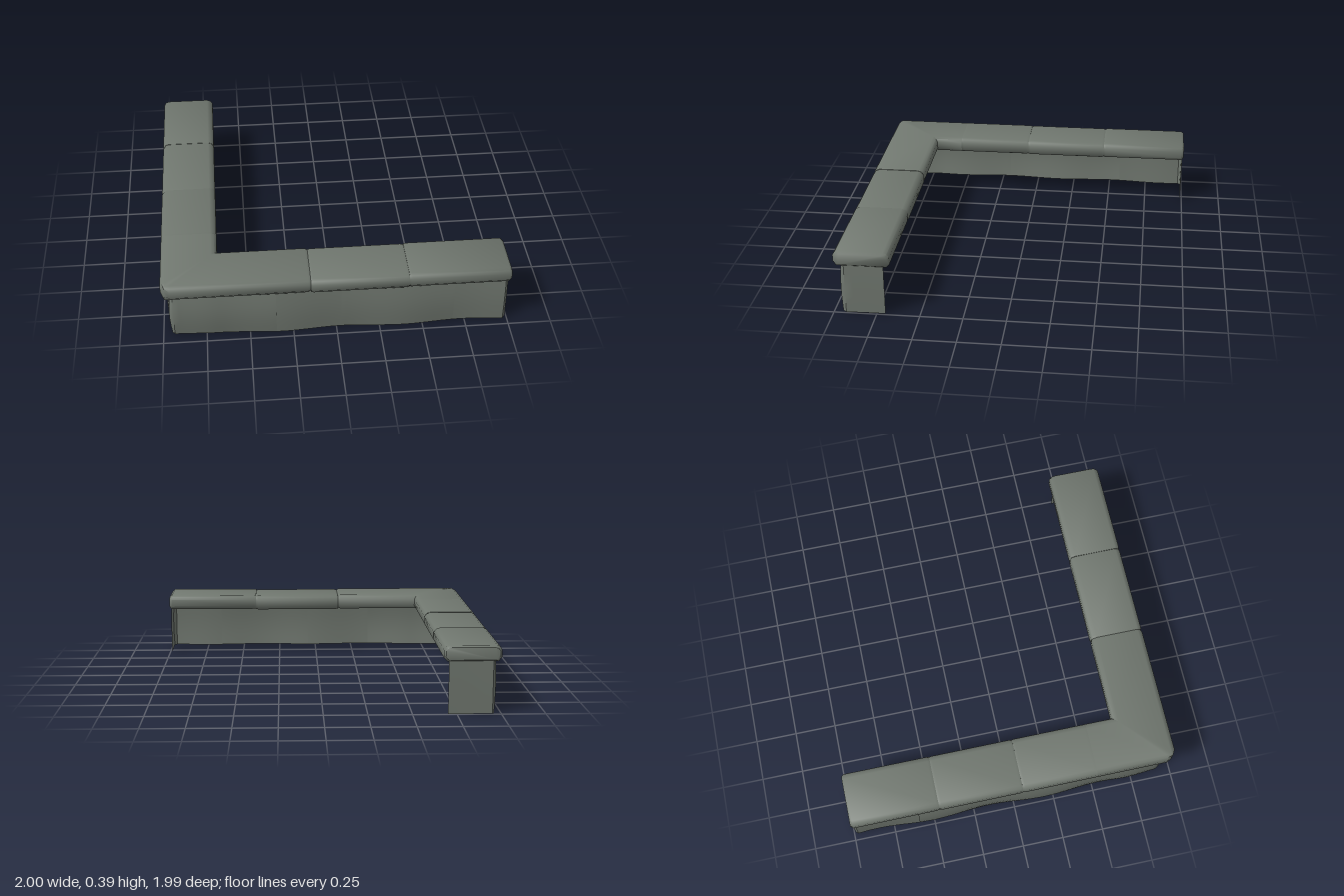
import * as THREE from 'three';
import { toCreasedNormals } from 'three/addons/utils/BufferGeometryUtils.js';

const stone = new THREE.MeshStandardMaterial({ color: 0x70776f });
const wallStone = new THREE.MeshStandardMaterial({ color: 0x70776f, side: THREE.DoubleSide });

// Coping cross-section: distance in from the outer edge, height
const profile = [
  [0.02, 0.3], [0.305, 0.3], [0.325, 0.32], [0.325, 0.365], [0.312, 0.384],
  [0.29, 0.392], [0.03, 0.392], [0.012, 0.384], [0, 0.365], [0, 0.325],
];
const OUT_X = -0.997, OUT_Z = 0.99;

// Stations along the L: side arm, mitred corner, front arm
const side = z => d => [OUT_X + d, Math.min(z, OUT_Z - d)];
const front = x => d => [Math.max(x, OUT_X + d), OUT_Z - d];
const mitre = d => {
  const e = Math.max(d, 0.022);
  return [OUT_X + e, OUT_Z - e];
};

function build(positions, index, crease) {
  const geo = new THREE.BufferGeometry();
  geo.setAttribute('position', new THREE.Float32BufferAttribute(positions, 3));
  geo.setIndex(index);
  return toCreasedNormals(geo, crease);
}

// Loft the profile through stations [placement, inset, lift], closing both ends
function capBlock(name, stations) {
  const pos = [], idx = [], n = profile.length;
  for (const [place, inset, lift] of stations) {
    for (const [d, y] of profile) {
      const [x, z] = place(0.1625 + (d - 0.1625) * (1 - inset / 0.1625));
      pos.push(x, 0.345 + (y - 0.345) * (1 - inset / 0.045) + lift, z);
    }
  }
  const last = stations.length - 1;
  for (let i = 0; i < last; i++) {
    for (let j = 0; j < n; j++) {
      const a = i * n + j, b = i * n + (j + 1) % n;
      idx.push(a, b, b + n, a, b + n, a + n);
    }
  }
  for (let j = 1; j < n - 1; j++) {
    idx.push(0, j + 1, j, last * n, last * n + j, last * n + j + 1);
  }
  const mesh = new THREE.Mesh(build(pos, idx, 0.9), stone);
  mesh.name = name;
  return mesh;
}

// Straight block with softened ends
function straightBlock(name, arm, from, to, startInset, endInset, lift) {
  return capBlock(name, [
    [arm(from), startInset, lift], [arm(from + 0.015), 0, lift],
    [arm(to - 0.015), 0, lift], [arm(to), endInset, lift],
  ]);
}

// Evenly spaced wall columns from a to b with an outward direction
function run(a, b, normal, amp = 1, n = 14) {
  return Array.from({ length: n + 1 }, (_, i) => {
    const t = i / n;
    return { x: a[0] + (b[0] - a[0]) * t, z: a[1] + (b[1] - a[1]) * t, normal, amp };
  });
}

// Wall line, and how far it draws in towards the outer corner
const X = -0.965, Z = 0.944;
function cornerPull(x, z) {
  const t = Math.max(0, 1 - Math.hypot(x - X, z - Z) / 0.28);
  return 0.028 * t * t * (3 - 2 * t);
}

// Uneven, slightly bulging sheet of stone
function wallPanel(name, columns, bulge) {
  const heights = [0, 0.05, 0.1, 0.15, 0.2, 0.25, 0.305];
  const pos = [], idx = [], rows = heights.length;
  for (const c of columns) {
    for (const y of heights) {
      const wave = 0.01 * Math.sin((c.x + c.z) * 9 + 2.2) * (1 - y * 1.5);
      const off = c.amp * (wave + bulge * Math.sin(Math.PI * y / 0.305) - cornerPull(c.x, c.z));
      pos.push(c.x + c.normal[0] * off, y, c.z + c.normal[1] * off);
    }
  }
  for (let i = 0; i < columns.length - 1; i++) {
    for (let j = 0; j < rows - 1; j++) {
      const a = i * rows + j, b = a + rows;
      idx.push(a, b, b + 1, a, b + 1, a + 1);
    }
  }
  const mesh = new THREE.Mesh(build(pos, idx, 0.6), wallStone);
  mesh.name = name;
  return mesh;
}

export function createModel() {
  const model = new THREE.Group();
  model.name = 'cornerWall';

  // Coping stones
  const coping = new THREE.Group();
  coping.name = 'coping';
  coping.add(
    straightBlock('sideCapEnd', side, -0.997, -0.463, 0.01, 0.003, 0),
    straightBlock('sideCapMiddle', side, -0.463, 0.045, 0.003, 0.003, -0.002),
    straightBlock('sideCapInner', side, 0.045, 0.5, 0.003, 0, 0),
    capBlock('cornerCap', [
      [side(0.5), 0, 0], [side(0.93), 0, 0], [mitre, 0, 0],
      [front(-0.94), 0, 0], [front(-0.165), 0, 0], [front(-0.15), 0.006, 0],
    ]),
    straightBlock('frontCapMiddle', front, -0.15, 0.41, 0.004, 0.003, -0.004),
    straightBlock('frontCapEnd', front, 0.41, 0.998, 0.003, 0.012, 0),
  );
  model.add(coping);

  // Outer wall sheet with overlapping panels, returning inwards at both open ends
  const L = [-1, 0], B = [0, -1], F = [0, 1], R = [1, 0], D = [-0.7, 0.7];
  const lap = 0.012;
  const wall = new THREE.Group();
  wall.name = 'wall';
  wall.add(
    wallPanel('sideEndWall', [
      ...run([-0.7, -0.99], [X + 0.015, -0.99], B, 0.2, 5),
      ...run([X, -0.975], [X, -0.58 + lap], L),
    ], 0.005),
    wallPanel('sideMiddleWall', run([X, -0.58 - lap], [X, 0.2], L, 1, 24), 0.014),
    wallPanel('cornerWallPanel', [
      ...run([X, 0.2], [X, Z - 0.03], L, 1, 20),
      { x: X + 0.009, z: Z - 0.009, normal: D, amp: 1.4 },
      ...run([X + 0.03, Z], [-0.36 + lap, Z], F, 1, 18),
    ], 0.014),
    wallPanel('frontInnerWall', run([-0.36 - lap, Z], [0.04 + lap, Z], F), 0.008),
    wallPanel('frontMiddleWall', run([0.04 - lap, Z], [0.67 + lap, Z], F, 1, 20), 0.01),
    wallPanel('frontEndWall', [
      ...run([0.67 - lap, Z], [0.975, Z], F, 1, 12),
      ...run([0.99, Z - 0.015], [0.99, 0.7], R, 0.2, 5),
    ], 0.007),
  );
  model.add(wall);
  return model;
}
